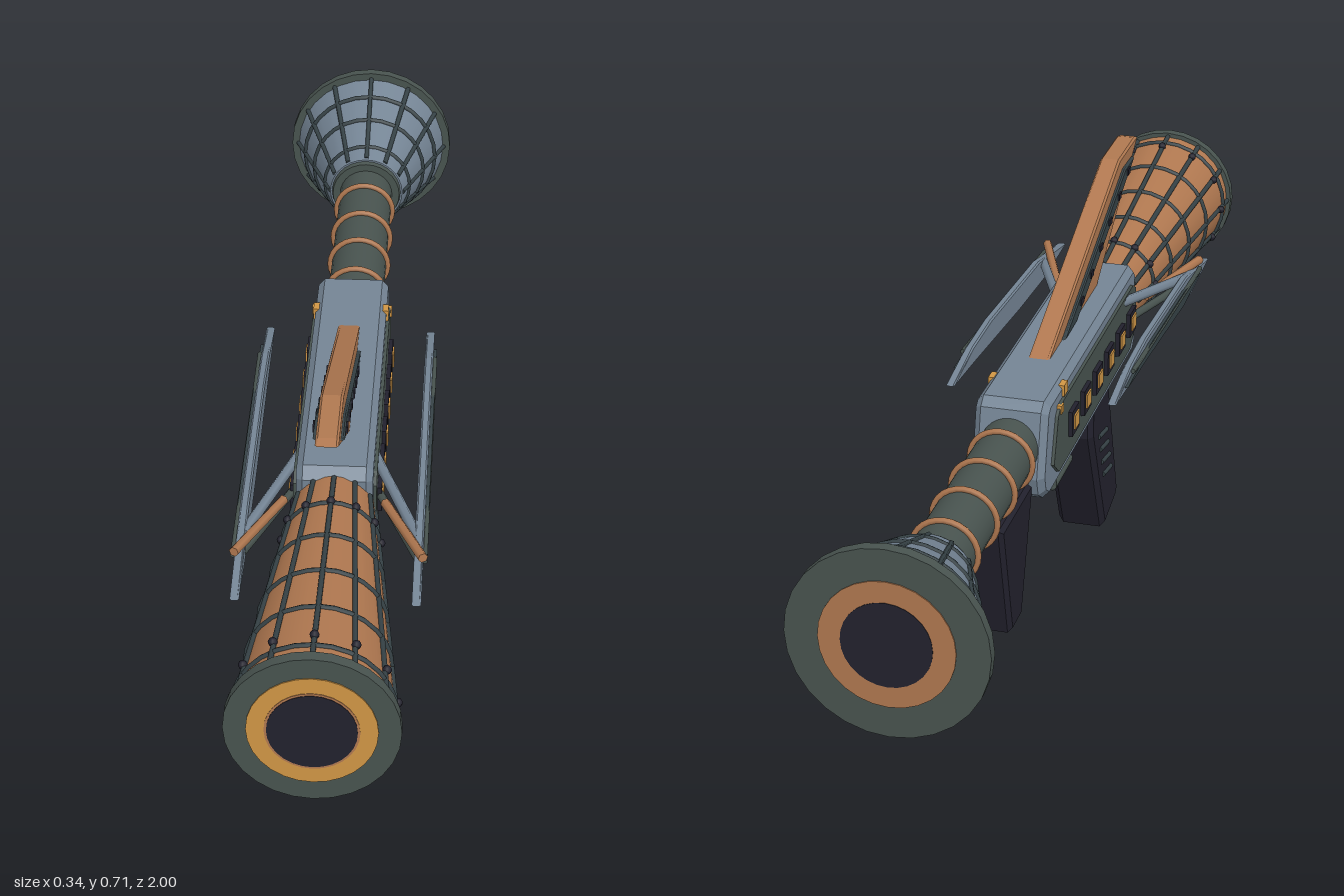
import * as THREE from 'three';

const AXIS = 0.435; // height of the barrel axis

const mat = (name, color) => {
  const m = new THREE.MeshStandardMaterial({ color });
  m.name = name;
  return m;
};

export function createModel() {
  const copper = mat('copper', 0xb07850);
  const green = mat('dark green metal', 0x48534f);
  const rib = mat('dark rib metal', 0x364246);
  const steel = mat('blue grey steel', 0x748494);
  const navy = mat('navy grip', 0x22212d);
  const amber = mat('amber', 0xd09645);

  const root = new THREE.Group();
  root.name = 'launcher';

  const add = (name, geo, material, parent = root) => {
    const mesh = new THREE.Mesh(geo, material);
    mesh.name = name;
    parent.add(mesh);
    return mesh;
  };

  // Round section along z, from z0 (radius r0) to z1 (radius r1)
  const tube = (name, z0, r0, z1, r1, material) => {
    const g = new THREE.CylinderGeometry(r1, r0, z1 - z0, 28).rotateX(Math.PI / 2);
    return add(name, g.translate(0, AXIS, (z0 + z1) / 2), material);
  };

  const hoop = (name, z, r, thick, material) =>
    add(name, new THREE.TorusGeometry(r, thick, 6, 28).translate(0, AXIS, z), material);

  // Side profile of [z, y] points, extruded across x with chamfered edges
  const slab = (name, pts, half, bevel, material, x = 0, parent = root) => {
    const shape = new THREE.Shape(pts.map(([z, y]) => new THREE.Vector2(-z, y)));
    const g = new THREE.ExtrudeGeometry(shape, {
      depth: 2 * (half - bevel), bevelEnabled: bevel > 0, bevelThickness: bevel,
      bevelSize: bevel, bevelOffset: -bevel, bevelSegments: 1,
    });
    g.translate(0, 0, -(half - bevel)).rotateY(Math.PI / 2).translate(x, 0, 0);
    return add(name, g, material, parent);
  };

  // Straight rod between two points
  const rod = (name, a, b, r, material, parent = root) => {
    const p = new THREE.Vector3(...a), q = new THREE.Vector3(...b);
    const d = q.clone().sub(p);
    const mesh = add(name, new THREE.CylinderGeometry(r, r, d.length(), 6), material, parent);
    mesh.position.copy(p).add(q).multiplyScalar(0.5);
    mesh.quaternion.setFromUnitVectors(new THREE.Vector3(0, 1, 0), d.normalize());
    return mesh;
  };

  // Thin disc on an end face; dir is +1 for front, -1 for back
  const disc = (name, z, r, material, dir) =>
    tube(name, Math.min(z, z + 0.002 * dir), r, Math.max(z, z + 0.002 * dir), r, material);

  // Cage of ribs and hoops around a horn, with optional bolts
  const cage = (name, z0, r0, z1, r1, hoops, count, boltZ) => {
    const radius = (z) => r0 + ((r1 - r0) * (z - z0)) / (z1 - z0);
    for (const z of hoops) hoop(name + 'Hoop', z, radius(z), 0.005, rib);
    for (let i = 0; i < count; i++) {
      const a = (i / count) * Math.PI * 2;
      const at = (z, off = 0) =>
        [Math.sin(a) * (radius(z) + off), AXIS + Math.cos(a) * (radius(z) + off), z];
      rod(name + 'Rib', at(z0), at(z1), 0.005, rib);
      for (const z of boltZ)
        add(name + 'Bolt', new THREE.SphereGeometry(0.008, 8, 6).translate(...at(z, 0.004)), navy);
    }
  };

  // Front horn
  tube('frontHorn', 0.38, 0.07, 0.985, 0.135, copper);
  cage('frontHorn', 0.4, 0.073, 0.985, 0.136, [0.49, 0.6, 0.715, 0.83, 0.945], 12, [0.49, 0.92]);
  tube('frontRim', 0.975, 0.143, 0.996, 0.143, green);
  disc('muzzleRing', 0.996, 0.106, amber, 1);
  disc('muzzleLip', 0.997, 0.077, copper, 1);
  disc('muzzleBore', 0.998, 0.073, navy, 1);

  // Rear barrel and flared exhaust
  tube('rearBarrel', -0.78, 0.055, -0.28, 0.055, green);
  for (const z of [-0.345, -0.46, -0.57, -0.685]) hoop('barrelBand', z, 0.058, 0.006, copper);
  tube('exhaustCollar', -0.775, 0.075, -0.755, 0.07, green);
  tube('exhaustHorn', -0.985, 0.16, -0.765, 0.076, steel);
  cage('exhaust', -0.985, 0.161, -0.77, 0.077, [-0.93, -0.87, -0.8], 12, []);
  tube('exhaustRim', -0.997, 0.172, -0.977, 0.172, green);
  disc('exhaustRing', -0.997, 0.115, copper, -1);
  disc('exhaustBore', -0.998, 0.077, navy, -1);

  // Receiver body
  slab('body', [[0.4, 0.5], [0.38, 0.519], [-0.26, 0.519], [-0.28, 0.505],
    [-0.31, 0.385], [-0.3, 0.35], [-0.27, 0.33], [0.38, 0.33], [0.4, 0.35]], 0.068, 0.012, steel);

  // Top fin with a dark inset on both sides
  slab('topFin', [[0.6, 0.708], [0.58, 0.713], [0.45, 0.713], [-0.1, 0.515], [0.27, 0.515]], 0.02, 0.004, copper);
  slab('topFinInset', [[0.545, 0.685], [0.47, 0.687], [0.0, 0.52], [0.09, 0.52]], 0.027, 0.003, rib);
  for (let i = 0; i < 6; i++) {
    const t = i / 5;
    add('topFinRivet', new THREE.BoxGeometry(0.06, 0.012, 0.02)
      .translate(0, 0.675 - 0.125 * t, 0.49 - 0.37 * t), navy);
  }

  // Everything mirrored left and right
  for (const s of [1, -1]) {
    const side = new THREE.Group();
    side.name = s > 0 ? 'leftSide' : 'rightSide';
    root.add(side);

    slab('sidePanel', [[0.375, 0.475], [0.35, 0.49], [-0.205, 0.49], [-0.225, 0.475],
      [-0.255, 0.39], [-0.22, 0.36], [0.33, 0.36], [0.375, 0.39]], 0.004, 0, green, s * 0.07, side);

    // Lit windows in dark frames
    for (let i = 0; i < 6; i++) {
      const z = 0.32 - i * 0.09;
      add('windowFrame', new THREE.BoxGeometry(0.012, 0.05, 0.05).translate(s * 0.076, 0.425, z), navy, side);
      add('windowLight', new THREE.BoxGeometry(0.004, 0.028, 0.03).translate(s * 0.083, 0.425, z), amber, side);
    }
    add('indicator', new THREE.BoxGeometry(0.012, 0.022, 0.025).translate(s * 0.066, 0.503, -0.165), amber, side);
    add('indicator', new THREE.BoxGeometry(0.01, 0.016, 0.016).translate(s * 0.072, 0.482, -0.205), amber, side);

    // Side blade with a dark outer plate and a copper edge
    slab('sideBlade', [[0.66, 0.43], [0.45, 0.475], [0.1, 0.498], [-0.02, 0.495], [-0.15, 0.472],
      [-0.02, 0.46], [0.3, 0.432], [0.5, 0.42]], 0.008, 0.003, steel, s * 0.154, side);
    slab('bladePlate', [[0.55, 0.443], [0.4, 0.466], [0.1, 0.484], [-0.08, 0.476],
      [0.1, 0.463], [0.4, 0.437]], 0.004, 0, rib, s * 0.164, side);
    rod('bladeRail', [s * 0.165, 0.487, -0.03], [s * 0.165, 0.45, 0.56], 0.005, green, side);

    // Struts joining blade and body
    rod('bladeStrut', [s * 0.065, 0.48, 0.28], [s * 0.152, 0.455, 0.5], 0.01, steel, side);
    rod('bladeStrut', [s * 0.065, 0.43, 0.3], [s * 0.152, 0.435, 0.53], 0.008, green, side);
    rod('copperStrut', [s * 0.09, 0.45, 0.39], [s * 0.162, 0.465, 0.57], 0.009, copper, side);

    // Grip ridges
    for (let i = 0; i < 4; i++) {
      const y = 0.225 - i * 0.034, z = 0.205 + i * 0.013;
      rod('gripRidge', [s * 0.048, y + 0.006, z - 0.025], [s * 0.048, y - 0.006, z + 0.04], 0.005, rib, side);
    }
  }

  // Pistol grip and foregrip
  slab('pistolGrip', [[0.265, 0.315], [0.245, 0.335], [0.13, 0.335], [0.13, 0.25], [0.25, 0.01],
    [0.235, 0], [0.335, 0.022], [0.347, 0.04]].filter((p) => p[0] !== 0.25), 0.048, 0.01, navy);
  slab('foreGrip', [[-0.295, 0.375], [-0.495, 0.375], [-0.49, 0.35], [-0.44, 0.14], [-0.37, 0.14], [-0.298, 0.35]],
    0.045, 0.008, navy);

  // Trigger and guard
  const guard = [[0.135, 0.203], [0.008, 0.203], [0.008, 0.335]];
  for (let i = 0; i < 2; i++)
    rod('triggerGuard', [0, guard[i][1], guard[i][0]], [0, guard[i + 1][1], guard[i + 1][0]], 0.008, green);
  add('guardCorner', new THREE.SphereGeometry(0.008, 8, 6).translate(0, 0.203, 0.008), green);
  rod('trigger', [0, 0.33, 0.085], [0, 0.26, 0.105], 0.007, rib);

  return root;
}
